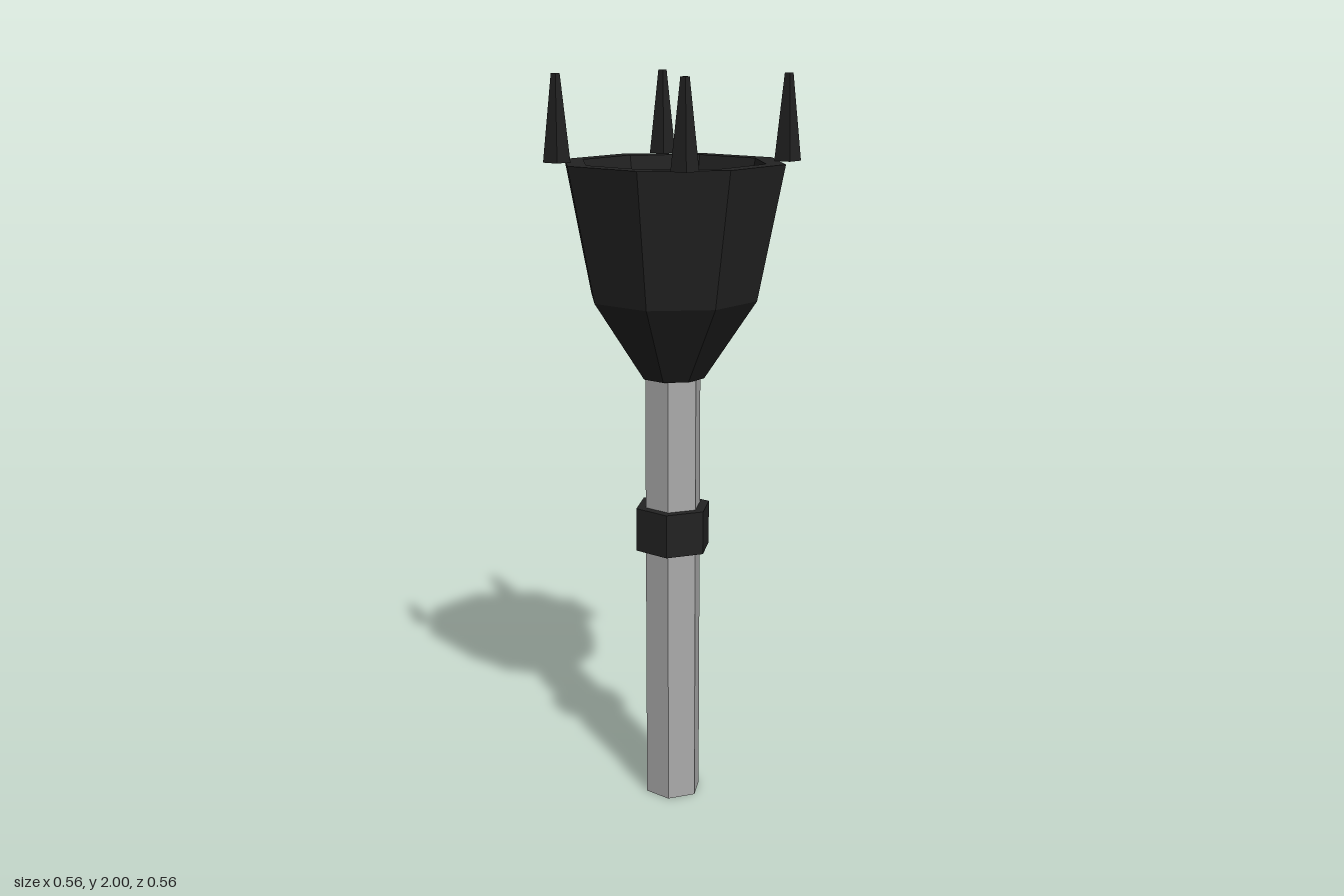
import * as THREE from 'three';

export function createModel() {
  const model = new THREE.Group();
  model.name = 'torch';

  const iron = new THREE.MeshStandardMaterial({ color: 0x222222, flatShading: true });
  iron.name = 'blackIron';
  const shaft = new THREE.MeshStandardMaterial({ color: 0xaaaaaa, flatShading: true });
  shaft.name = 'greyShaft';

  function add(name, geometry, material, x, y, z) {
    const mesh = new THREE.Mesh(geometry, material);
    mesh.name = name;
    mesh.position.set(x, y, z);
    model.add(mesh);
    return mesh;
  }

  // Hexagonal handle and its collar
  add('handle', new THREE.CylinderGeometry(0.079, 0.079, 1.21, 6), shaft, 0, 0.605, 0);
  add('collar', new THREE.CylinderGeometry(0.106, 0.106, 0.12, 6), iron, 0, 0.785, 0);

  // Octagonal cup: outer wall, rim, inner wall and floor in one closed profile
  const profile = [
    [0, 1.205], [0.087, 1.205], [0.23, 1.42], [0.301, 1.775],
    [0.249, 1.775], [0.178, 1.42], [0, 1.42],
  ].map(([r, y]) => new THREE.Vector2(r, y));
  add('cup', new THREE.LatheGeometry(profile, 8, Math.PI / 8), iron, 0, 0, 0);

  // Four tapered square spikes at the corners of the rim
  const bottom = 1.775;
  const height = 2 - bottom;
  const spike = new THREE.CylinderGeometry(0.008 * Math.SQRT2, 0.025 * Math.SQRT2, height, 4);
  spike.rotateY(Math.PI / 4);
  for (const sx of [-1, 1]) {
    for (const sz of [-1, 1]) {
      const name = (sz > 0 ? 'front' : 'back') + (sx > 0 ? 'Left' : 'Right') + 'Spike';
      add(name, spike, iron, sx * 0.213, bottom + height / 2, sz * 0.213);
    }
  }

  return model;
}
